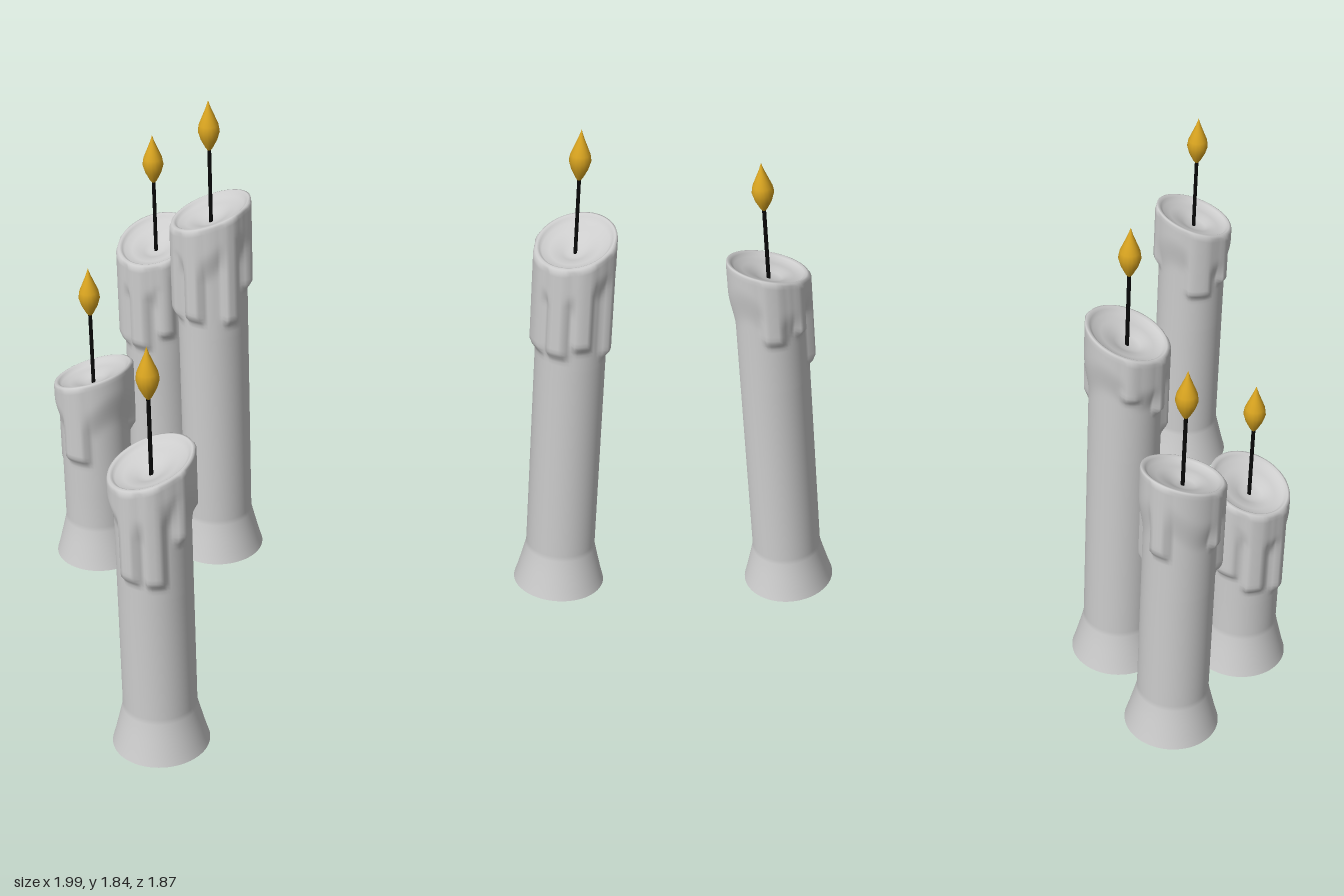
import * as THREE from 'three';

const wax = new THREE.MeshStandardMaterial({ color: 0xcccccc });
wax.name = 'wax';
const wickBlack = new THREE.MeshStandardMaterial({ color: 0x080808 });
wickBlack.name = 'wick black';
const flameGold = new THREE.MeshStandardMaterial({ color: 0xdaa520 });
flameGold.name = 'flame gold';

const SIDES = 64;
const BODY = 0.127;
const RAD = Math.PI / 180;
const smooth = THREE.MathUtils.smoothstep;

// Angles run from +x (0) towards +z (90). drips: [angle, half width, length below the rim]
const CANDLES = [
  { x: -0.45, z: -0.775, h: 1.115, high: -35, drips: [[180, 20, 0.41], [135, 16, 0.41], [45, 14, 0.43], [90, 12, 0.36], [315, 14, 0.28], [225, 9, 0.26]] },
  { x: -0.775, z: -0.45, h: 0.775, high: 45, drips: [[270, 16, 0.4], [225, 11, 0.43], [315, 18, 0.34], [135, 20, 0.33], [10, 14, 0.25]] },
  { x: -0.335, z: -0.365, h: 1.415, high: 20, drips: [[180, 18, 0.41], [135, 14, 0.4], [75, 13, 0.41], [35, 10, 0.3], [225, 9, 0.28], [275, 12, 0.2]] },
  { x: 0.828, z: 0.235, h: 1.415, high: -35, drips: [[180, 20, 0.41], [135, 16, 0.41], [45, 11, 0.43], [95, 14, 0.38], [270, 16, 0.26], [225, 9, 0.24]] },
  { x: -0.83, z: 0.765, h: 1.115, high: 0, drips: [[102, 13, 0.41], [140, 14, 0.4], [60, 8, 0.26], [270, 20, 0.3], [0, 8, 0.22], [225, 9, 0.26]] },
];

// Radius of the wax wall at an angle and a depth below the rim
function wallRadius(deg, depth, drips) {
  const soft = 0.19 + 0.03 * Math.sin(3 * deg * RAD + 1);
  let cover = 0.8 * (1 - smooth(depth, soft - 0.1, soft + 0.03));
  for (const [angle, width, length] of drips) {
    const off = Math.abs(((deg - angle + 540) % 360) - 180);
    const across = 1 - smooth(off, width * 0.75, width * 1.25);
    cover = Math.max(cover, across * (1 - smooth(depth, length - 0.03, length + 0.01)));
  }
  return BODY + 0.023 * cover;
}

// Cross-section rings from the flared foot over the rim into the melted bowl
function waxGeometry({ h, high, drips }) {
  const rings = [];
  for (const [r, y] of [[0.167, 0], [0.157, 0.035], [0.142, 0.095], [0.129, 0.15], [BODY, 0.17]]) {
    rings.push(() => [r, y]);
  }
  const slant = (deg, r, depth) =>
    0.05 * Math.cos((deg - high) * RAD) * (r / 0.148) * (1 - smooth(depth, 0, 0.32));
  for (let k = 0; k <= 30; k++) {
    const depth = 0.47 - (0.458 * k) / 30;
    rings.push((deg) => {
      const r = wallRadius(deg, depth, drips);
      return [r, h - depth + slant(deg, r, depth)];
    });
  }
  for (const [r, drop] of [[0.143, 0.002], [0.136, 0], [0.127, 0.006], [0.118, 0.018], [0.09, 0.024],
    [0.065, 0.03], [0.045, 0.042], [0.025, 0.047], [0.001, 0.048]]) {
    rings.push((deg) => [r, h - drop + slant(deg, r, 0)]);
  }

  const pos = [];
  const index = [];
  rings.forEach((ring, i) => {
    for (let j = 0; j < SIDES; j++) {
      const deg = (j * 360) / SIDES;
      const [r, y] = ring(deg);
      pos.push(r * Math.cos(deg * RAD), y, r * Math.sin(deg * RAD));
      if (i === rings.length - 1) continue;
      const a = i * SIDES + j;
      const b = i * SIDES + ((j + 1) % SIDES);
      index.push(a, a + SIDES, b + SIDES, a, b + SIDES, b);
    }
  });
  const geo = new THREE.BufferGeometry();
  geo.setAttribute('position', new THREE.Float32BufferAttribute(pos, 3));
  geo.setIndex(index);
  geo.computeVertexNormals();
  return geo;
}

// Teardrop flame
const flameGeometry = new THREE.LatheGeometry(
  [[0, 0], [0.014, 0.02], [0.03, 0.052], [0.039, 0.083], [0.035, 0.108], [0.022, 0.14], [0.009, 0.172], [0, 0.2]]
    .map(([r, y]) => new THREE.Vector2(r, y)), 16);

function addMesh(parent, name, geometry, material, y) {
  const mesh = new THREE.Mesh(geometry, material);
  mesh.name = name;
  mesh.position.y = y;
  parent.add(mesh);
  return mesh;
}

export function createModel() {
  const model = new THREE.Group();
  model.name = 'candles';
  for (const spec of CANDLES) {
    const candle = new THREE.Group();
    candle.name = 'candle';
    candle.position.set(spec.x, 0, spec.z);
    addMesh(candle, 'waxBody', waxGeometry(spec), wax, 0);
    addMesh(candle, 'underside', new THREE.CircleGeometry(0.167, SIDES), wax, 0).rotation.x = Math.PI / 2;
    addMesh(candle, 'wick', new THREE.CylinderGeometry(0.007, 0.007, 0.3, 8), wickBlack, spec.h + 0.1);
    addMesh(candle, 'flame', flameGeometry, flameGold, spec.h + 0.225);
    model.add(candle);
  }
  return model;
}
